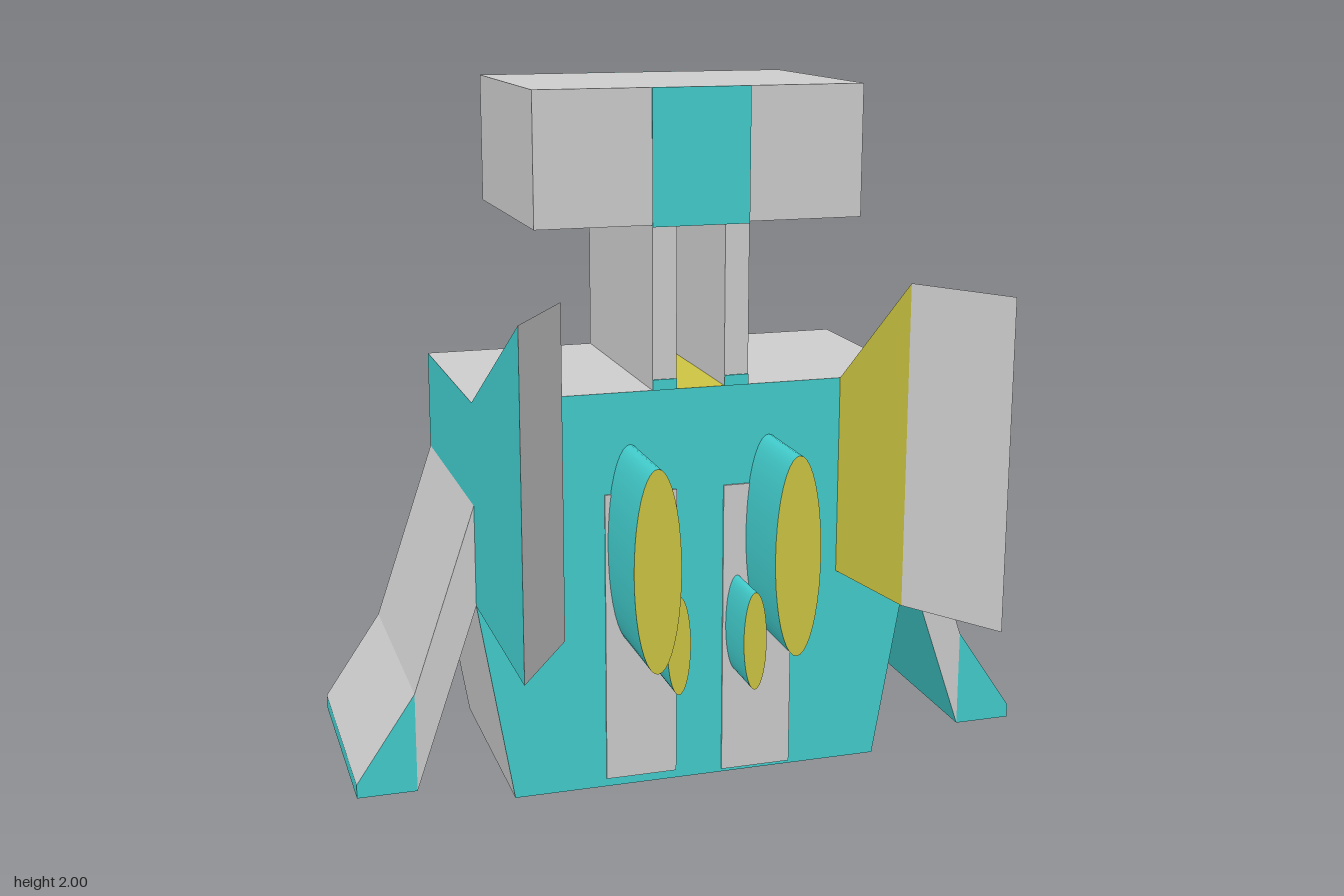
import * as THREE from 'three';

export function createModel() {
  const mat = (name, color) => {
    const m = new THREE.MeshStandardMaterial({ color });
    m.name = name;
    return m;
  };
  const gray = mat('light gray', 0xcccccc);
  const teal = mat('teal', 0x42cccc);
  const yellow = mat('yellow', 0xccc442);
  const mats = [gray, teal, yellow];
  const GRAY = 0, TEAL = 1, YELLOW = 2;
  const ZF = 0.395, ZB = -0.285; // front and back planes shared by body, head and legs
  const model = new THREE.Group();

  // Flat polygons [colour, ...corners], each turned to face away from the centre
  function shell(name, centre, faces, side = 1) {
    const pos = [];
    const geo = new THREE.BufferGeometry();
    const v = p => new THREE.Vector3(p[0] * side, p[1], p[2]);
    const c = v(centre);
    for (const [colour, ...corners] of faces) {
      const pts = corners.map(v);
      const start = pos.length / 3;
      for (let i = 1; i < pts.length - 1; i++) {
        let [a, b, d] = [pts[0], pts[i], pts[i + 1]];
        const n = b.clone().sub(a).cross(d.clone().sub(a));
        if (n.dot(a.clone().sub(c)) < 0) [b, d] = [d, b];
        pos.push(...a.toArray(), ...b.toArray(), ...d.toArray());
      }
      geo.addGroup(start, pos.length / 3 - start, colour);
    }
    geo.setAttribute('position', new THREE.Float32BufferAttribute(pos, 3));
    geo.computeVertexNormals();
    const mesh = new THREE.Mesh(geo, mats);
    mesh.name = name;
    model.add(mesh);
  }

  function box(name, material, x0, x1, y0, y1, z0, z1) {
    const mesh = new THREE.Mesh(new THREE.BoxGeometry(x1 - x0, y1 - y0, z1 - z0), material);
    mesh.position.set((x0 + x1) / 2, (y0 + y1) / 2, (z0 + z1) / 2);
    mesh.name = name;
    model.add(mesh);
  }

  // Strip swept from front to back between two profile points
  const strip = (colour, [x0, y0], [x1, y1]) =>
    [colour, [x0, y0, ZF], [x1, y1, ZF], [x1, y1, ZB], [x0, y0, ZB]];
  const cap = (colour, z, pts) => [colour, ...pts.map(([x, y]) => [x, y, z])];

  // Body: six-sided slab with coloured top and bottom bands
  const outline = [[0.55, 0], [0.65, 0.59], [0.65, 1.17], [-0.65, 1.17], [-0.65, 0.59], [-0.55, 0]];
  shell('body', [0, 0.6, 0.05], [
    cap(TEAL, ZF, outline),
    cap(TEAL, ZB, outline),
    strip(GRAY, outline[0], outline[1]),
    strip(TEAL, outline[1], outline[2]),
    strip(TEAL, outline[3], outline[4]),
    strip(GRAY, outline[4], outline[5]),
    strip(GRAY, [0.65, 1.17], [0.07, 1.17]),
    strip(YELLOW, [0.07, 1.17], [-0.07, 1.17]),
    strip(GRAY, [-0.07, 1.17], [-0.65, 1.17]),
    strip(GRAY, [0.55, 0], [0.07, 0]),
    strip(YELLOW, [0.07, 0], [-0.07, 0]),
    strip(TEAL, [-0.07, 0], [-0.55, 0]),
  ]);
  box('leftFrontPanel', gray, 0.07, 0.28, 0.01, 0.88, ZF, ZF + 0.005);
  box('rightFrontPanel', gray, -0.28, -0.07, 0.025, 0.88, ZF, ZF + 0.005);

  // Head block with a stripe on its front and back
  box('head', gray, -0.47, 0.47, 1.63, 2, ZB, ZF);
  box('headFrontStripe', teal, -0.14, 0.14, 1.625, 2, ZF, ZF + 0.004);
  box('headBackStripe', teal, -0.14, 0.14, 1.625, 2, ZB - 0.004, ZB);

  for (const side of [1, -1]) {
    const label = side > 0 ? 'left' : 'right';

    // Neck plates with small coloured feet
    const [n0, n1] = side > 0 ? [0.07, 0.14] : [-0.14, -0.07];
    box(label + 'NeckPlate', gray, n0, n1, 1.17, 1.63, ZB, ZF);
    box(label + 'NeckFoot', teal, n0, n1, 1.17, 1.2, ZF, ZF + 0.004);

    // Splayed leg ending in a wedge foot
    const hip = [0.65, 0.88], knee = [0.83, 0.35], toe = [1, 0.1];
    const tip = [1, 0.06], heel = [0.83, 0.06], pit = [0.65, 0.59];
    const upper = [hip, knee, heel, pit], foot = [knee, toe, tip, heel];
    shell(label + 'Leg', [0.82, 0.2, 0.05], [
      cap(GRAY, ZF, upper), cap(GRAY, ZB, upper),
      cap(TEAL, ZF, foot), cap(TEAL, ZB, foot),
      strip(GRAY, hip, knee), strip(GRAY, knee, toe), strip(TEAL, toe, tip),
      strip(side > 0 ? GRAY : TEAL, tip, heel), strip(TEAL, heel, pit),
    ], side);

    // Forward-reaching wing
    const A = [0.42, 0.59, ZF], B = [0.42, 1.17, ZF], C = [0.65, 1.17, ZF], D = [0.65, 0.59, ZF];
    const E = [0.48, 1.495, 0.73], F = [0.65, 1.495, 1], G = [0.65, 0.59, 1], H = [0.48, 0.59, 0.73];
    shell(label + 'Wing', [0.55, 1, 0.6], [
      [YELLOW, A, H, E, B], [GRAY, H, G, F, E], [TEAL, D, G, F, C],
      [TEAL, B, E, C], [TEAL, C, E, F], [TEAL, A, D, G, H],
    ], side);

    // Half of the faceted tail spike
    const apex = [0, 0.59, -1], M = [0, 1.17, ZB], P = [0.07, 1.17, ZB], Q = [0.14, 0.88, ZB];
    const R = [0.07, 0.88, -0.46], S = [0.072, 0.58, -0.63];
    const low = [0.14, 0, ZB], lowIn = [0.07, 0, ZB], lowMid = [0, 0, ZB];
    shell(label + 'TailSpike', [0, 0.5, -0.35], [
      [GRAY, P, Q, R], [YELLOW, M, P, apex], [YELLOW, P, R, apex], [YELLOW, R, S, apex],
      [YELLOW, Q, R, S], [YELLOW, Q, low, S], [YELLOW, low, lowIn, S],
      [YELLOW, lowIn, S, apex], [YELLOW, lowIn, lowMid, apex],
    ], side);
  }

  // Oval barrels on the chest: teal walls, yellow ends
  const barrels = [
    ['leftLargeBarrel', 0.205, 0.73, 0.067, 0.29, 0.645],
    ['rightLargeBarrel', -0.205, 0.73, 0.067, 0.29, 0.665],
    ['leftSmallBarrel', 0.113, 0.463, 0.034, 0.145, 0.56],
    ['rightSmallBarrel', -0.112, 0.473, 0.034, 0.145, 0.56],
  ];
  for (const [name, x, y, rx, ry, zEnd] of barrels) {
    const geo = new THREE.CylinderGeometry(1, 1, zEnd - ZF, 40);
    geo.rotateX(Math.PI / 2);
    geo.scale(rx, ry, 1);
    const mesh = new THREE.Mesh(geo, [teal, yellow, yellow]);
    mesh.position.set(x, y, (zEnd + ZF) / 2);
    mesh.name = name;
    model.add(mesh);
  }

  return model;
}
